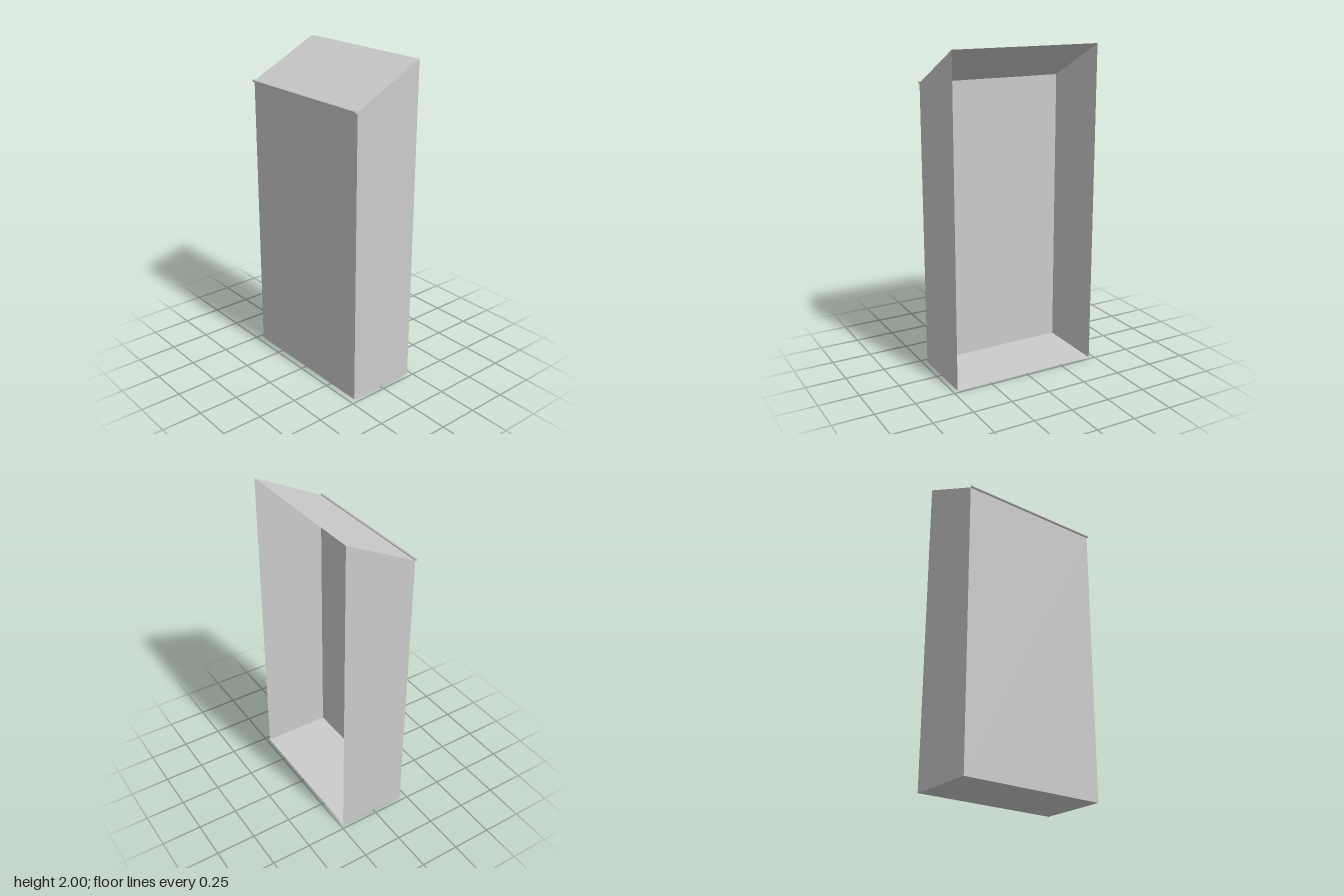
import * as THREE from 'three';

const W = 0.47, BACK = -0.23, FRONT = 0.214, TOP = 2, EAVE = 1.777;

export function createModel() {
  const group = new THREE.Group();
  const material = new THREE.MeshStandardMaterial({ color: 0xcccccc, side: THREE.DoubleSide });

  const add = (name, geometry) => {
    const mesh = new THREE.Mesh(geometry, material);
    mesh.name = name;
    group.add(mesh);
    return mesh;
  };

  // Thin sheet spanning the full width between two (z, y) points
  const sheet = (name, [z0, y0], [z1, y1]) => {
    const geometry = new THREE.BufferGeometry();
    geometry.setAttribute('position', new THREE.Float32BufferAttribute(
      [-W, y0, z0, W, y0, z0, W, y1, z1, -W, y1, z1], 3));
    geometry.setIndex([0, 1, 2, 0, 2, 3]);
    geometry.computeVertexNormals();
    return add(name, geometry);
  };

  // Shell: front, floor and sloping roof, with the back left open
  sheet('frontPanel', [FRONT, 0], [FRONT, EAVE]);
  sheet('floorPanel', [BACK, 0], [FRONT, 0]).geometry.index.array.reverse();
  group.getObjectByName('floorPanel').geometry.computeVertexNormals();
  sheet('roofPanel', [FRONT, EAVE], [BACK, TOP]);

  // Side walls with sloping tops, facing outwards
  const profile = new THREE.Shape([
    new THREE.Vector2(-FRONT, 0), new THREE.Vector2(-BACK, 0),
    new THREE.Vector2(-BACK, TOP), new THREE.Vector2(-FRONT, EAVE),
  ]);
  const left = add('leftPanel', new THREE.ShapeGeometry(profile).rotateY(Math.PI / 2));
  left.position.x = W;
  const mirrored = new THREE.Shape(profile.getPoints().map((p) => new THREE.Vector2(-p.x, p.y)));
  const right = add('rightPanel', new THREE.ShapeGeometry(mirrored).rotateY(-Math.PI / 2));
  right.position.x = -W;

  // Small rolled lip along the front edge of the roof
  const lip = add('roofLip', new THREE.CylinderGeometry(0.008, 0.008, 2 * W, 12).rotateZ(Math.PI / 2));
  lip.position.set(0, 1.779, 0.222);

  return group;
}
